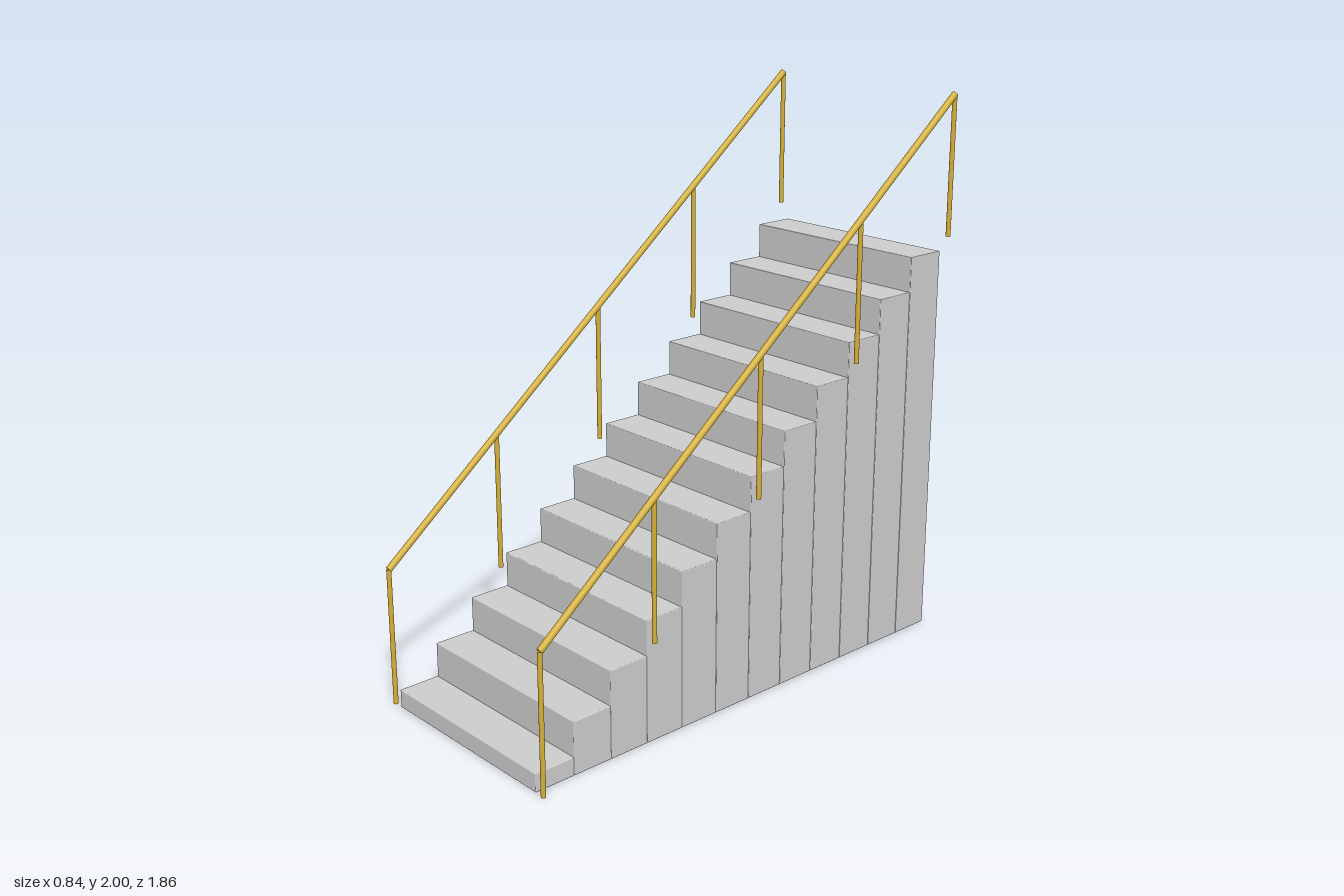
import * as THREE from 'three';
import { RoundedBoxGeometry } from 'three/addons/geometries/RoundedBoxGeometry.js';

const STEPS = 12, WIDTH = 0.75, DEPTH = 1.845 / STEPS, RISE = 0.1245, FIRST = 0.066;
const RAIL_X = 0.41, RAIL_Z = 0.92, POST_HEIGHT = 0.497, CLIMB = 1.494;

const stone = new THREE.MeshStandardMaterial({ color: 0xcccccc });
const brass = new THREE.MeshStandardMaterial({ color: 0xd4af37 });

// Round bar between two points
function bar(name, from, to, radius) {
  const dir = to.clone().sub(from);
  const mesh = new THREE.Mesh(new THREE.CylinderGeometry(radius, radius, dir.length(), 16), brass);
  mesh.name = name;
  mesh.position.copy(from).add(to).multiplyScalar(0.5);
  mesh.quaternion.setFromUnitVectors(new THREE.Vector3(0, 1, 0), dir.normalize());
  return mesh;
}

// Solid steps, each a block standing on the ground with slightly softened edges
function createSteps() {
  const group = new THREE.Group();
  group.name = 'steps';
  for (let i = 0; i < STEPS; i++) {
    const height = FIRST + i * RISE;
    const step = new THREE.Mesh(new RoundedBoxGeometry(WIDTH, height, DEPTH, 2, 0.003), stone);
    step.name = `step${i + 1}`;
    step.position.set(0, height / 2, 0.9225 - (i + 0.5) * DEPTH);
    group.add(step);
  }
  return group;
}

// Sloping handrail carried by five upright posts
function createRailing(name, x) {
  const group = new THREE.Group();
  group.name = name;
  const railPoint = (t) => new THREE.Vector3(x, POST_HEIGHT + t * CLIMB, RAIL_Z * (1 - 2 * t));
  group.add(bar('handrail', railPoint(0), railPoint(1), 0.0118));
  for (let i = 0; i < 5; i++) {
    const top = railPoint(i / 4);
    const foot = top.clone();
    foot.y -= POST_HEIGHT;
    group.add(bar(`post${i + 1}`, foot, top, 0.0085));
  }
  return group;
}

export function createModel() {
  const model = new THREE.Group();
  model.name = 'staircase';
  model.add(createSteps(), createRailing('leftRailing', RAIL_X), createRailing('rightRailing', -RAIL_X));
  return model;
}
